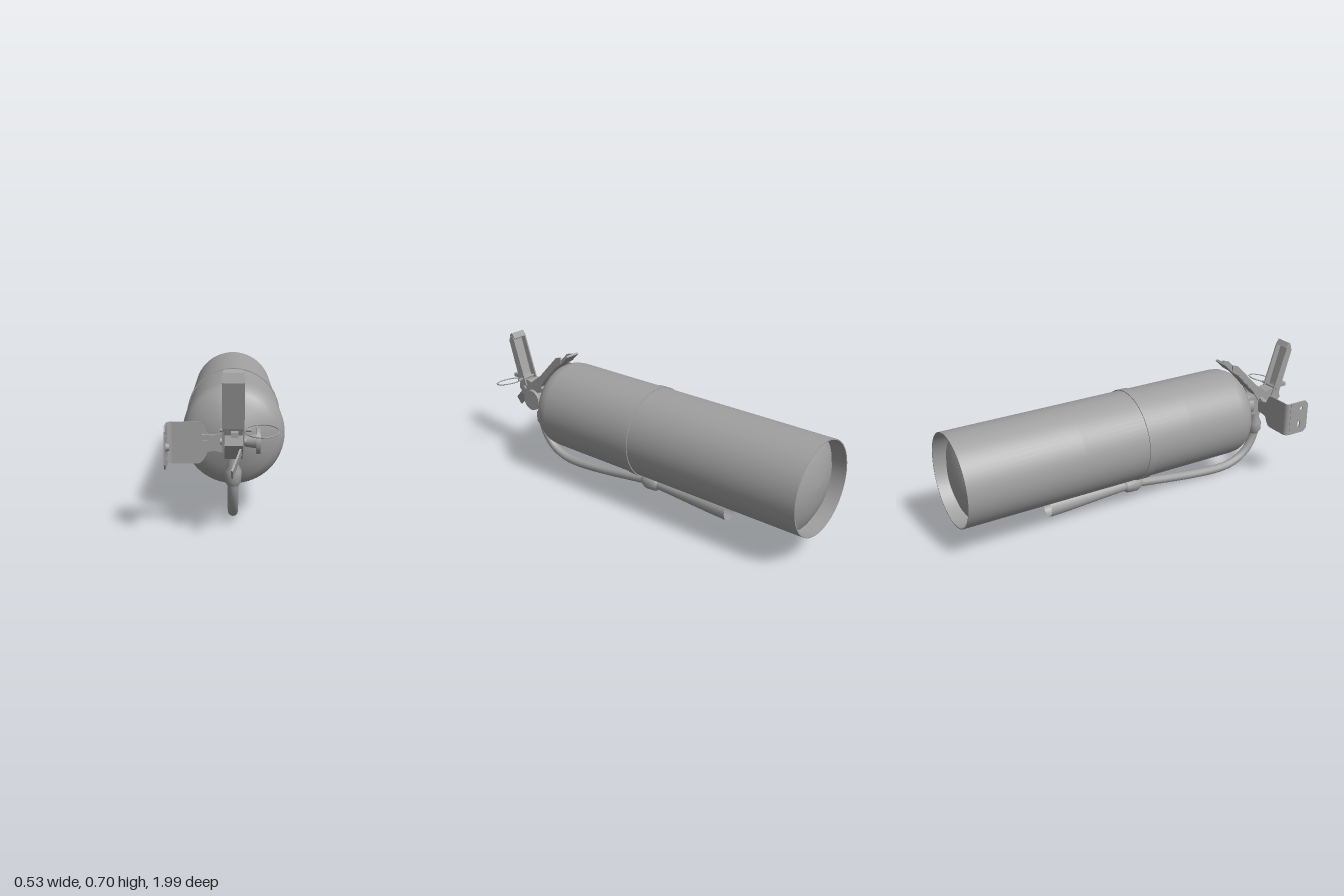
import * as THREE from 'three';

const CX = 0.027, CY = 0.375; // axis of the cylinder

export function createModel() {
  const model = new THREE.Group();
  model.name = 'fireExtinguisher';
  const grey = new THREE.MeshStandardMaterial({ color: 0xa0a0a0, side: THREE.DoubleSide });
  grey.name = 'grey';

  const add = (name, geometry, x = 0, y = 0, z = 0, parent = model) => {
    const mesh = new THREE.Mesh(geometry, grey);
    mesh.name = name;
    mesh.position.set(x, y, z);
    parent.add(mesh);
    return mesh;
  };
  // Surface of revolution about the z axis, from [radius, z] pairs
  const lathe = (name, pts, x, y, sides = 64) =>
    add(name, new THREE.LatheGeometry(pts.map(p => new THREE.Vector2(...p)), sides).rotateX(Math.PI / 2), x, y, 0);
  // Cylinder lying along x
  const rodX = (name, r0, r1, x0, x1, y, z, sides = 16, parent = model) =>
    add(name, new THREE.CylinderGeometry(r0, r1, x1 - x0, sides).rotateZ(Math.PI / 2), (x0 + x1) / 2, y, z, parent);
  // Plate with a [z, y] outline, spanning x0..x1
  const sidePlate = (name, outline, x0, x1, parent = model, holes = []) => {
    const shape = new THREE.Shape(outline.map(p => new THREE.Vector2(...p)));
    shape.holes.push(...holes);
    const g = new THREE.ExtrudeGeometry(shape, { depth: x1 - x0, bevelEnabled: false });
    return add(name, g.rotateY(-Math.PI / 2), x1, 0, 0, parent);
  };

  // Tank: wall and shoulder, skirt inside, domed base
  lathe('tank', [[0.232, -1], [0.232, -0.4], [0.232, 0.2], [0.232, 0.52], [0.228, 0.555], [0.215, 0.584],
    [0.19, 0.606], [0.145, 0.627], [0.09, 0.645], [0.05, 0.656]], CX, CY);
  lathe('skirtInside', [[0.227, -0.925], [0.227, -1]], CX, CY);
  lathe('skirtRim', [[0.227, -1], [0.232, -1]], CX, CY);
  lathe('baseDome', [[0, -0.985], [0.06, -0.981], [0.12, -0.969], [0.18, -0.949], [0.227, -0.922]], CX, CY);

  // Strap around the tank, drawn down to the nozzle clip
  const loop = (r, Path) => {
    const p = new Path();
    p.absarc(0, 0, r, -Math.PI / 2 + 0.37, Math.PI * 1.5 - 0.37, false);
    p.lineTo(-0.025, -r - 0.013);
    p.lineTo(0.025, -r - 0.013);
    p.closePath();
    return p;
  };
  const strap = loop(0.237, THREE.Shape);
  strap.holes.push(loop(0.2325, THREE.Path));
  add('strap', new THREE.ExtrudeGeometry(strap, { depth: 0.045, bevelEnabled: false, curveSegments: 48 }), CX, CY, -0.053);
  add('clipBlock', new THREE.BoxGeometry(0.05, 0.03, 0.05), CX, 0.12, -0.03);
  lathe('clipCollar', [[0.026, -0.075], [0.04, -0.06], [0.043, 0], [0.025, 0.035]], CX, 0.085, 12);

  // Nozzle horn, open at the back
  lathe('nozzle', [[0.049, -0.512], [0.045, -0.4], [0.034, -0.2], [0.027, -0.06]], CX, 0.085, 16);
  lathe('nozzleInside', [[0.024, -0.07], [0.031, -0.2], [0.042, -0.4], [0.046, -0.512]].slice(), CX, 0.085, 16);

  // Hose
  const path = new THREE.CatmullRomCurve3([[0.3, 0.78], [0.2, 0.782], [0.13, 0.755], [0.07, 0.70], [0.035, 0.62],
    [0.026, 0.53], [0.037, 0.36], [0.065, 0.14], [0.08, 0.03], [0.085, -0.04]]
    .map(([y, z]) => new THREE.Vector3(CX - 0.003, y, z)));
  add('hose', new THREE.TubeGeometry(path, 60, 0.023, 12));
  add('hoseFitting', new THREE.LatheGeometry([[0.02, -0.05], [0.036, -0.025], [0.038, 0.02], [0.024, 0.05], [0.028, 0.1]]
    .map(p => new THREE.Vector2(...p)), 10), CX - 0.003, 0.235, 0.78);

  // Valve
  const valve = new THREE.Group();
  valve.name = 'valve';
  model.add(valve);
  const neck = new THREE.CylinderGeometry(0.052, 0.057, 0.1, 20).rotateX(Math.PI / 2);
  add('neck', neck, CX, CY, 0.685, valve);
  sidePlate('valveBody', [[0.70, 0.335], [0.74, 0.32], [0.84, 0.32], [0.89, 0.36], [0.92, 0.39], [0.91, 0.43],
    [0.85, 0.45], [0.78, 0.43], [0.70, 0.42]], -0.012, 0.064, valve);
  rodX('leverPivot', 0.014, 0.014, -0.03, 0.08, 0.40, 0.87, 10, valve);
  rodX('gaugeStem', 0.022, 0.032, 0.06, 0.125, CY + 0.003, 0.745, 10, valve);
  rodX('gauge', 0.057, 0.057, 0.123, 0.141, CY + 0.003, 0.745, 20, valve);

  // Channel-shaped levers: two cheeks and a web
  const lever = (name, cheek, web) => {
    const g = new THREE.Group();
    g.name = name;
    model.add(g);
    sidePlate('cheekLeft', cheek, 0.063, 0.071, g);
    sidePlate('cheekRight', cheek, -0.021, -0.013, g);
    sidePlate('web', web, -0.017, 0.067, g);
  };
  lever('squeezeLever',
    [[0.835, 0.36], [0.89, 0.36], [0.915, 0.46], [0.972, 0.655], [0.965, 0.685], [0.94, 0.68], [0.87, 0.46]],
    [[0.89, 0.40], [0.918, 0.46], [0.976, 0.655], [0.966, 0.695], [0.952, 0.703], [0.933, 0.675],
      [0.942, 0.67], [0.956, 0.685], [0.964, 0.655], [0.906, 0.46], [0.878, 0.40]]);
  lever('carryHandle',
    [[0.80, 0.35], [0.86, 0.37], [0.86, 0.41], [0.735, 0.505], [0.61, 0.635], [0.575, 0.645], [0.575, 0.61],
      [0.615, 0.585], [0.715, 0.475]],
    [[0.80, 0.385], [0.715, 0.472], [0.612, 0.582], [0.57, 0.61], [0.525, 0.655], [0.533, 0.663],
      [0.577, 0.62], [0.62, 0.59], [0.723, 0.48], [0.81, 0.395]]);

  // Safety pin, its pull ring and the hanging seal
  rodX('safetyPin', 0.007, 0.007, -0.03, 0.1, 0.45, 0.885, 8);
  const ring = add('pullRing', new THREE.TorusGeometry(0.071, 0.003, 6, 40).rotateX(Math.PI / 2), 0.143, 0.45, 0.91);
  ring.rotation.x = 0.22;
  const seal = add('sealTag', new THREE.BoxGeometry(0.008, 0.05, 0.14), 0.04, 0.325, 0.925);
  seal.rotation.set(0.7, -0.3, 0);
  add('pinEnd', new THREE.BoxGeometry(0.03, 0.02, 0.05), 0.03, 0.445, 0.955);

  // Wall bracket: rounded plate, bend and drilled flange
  const bracket = new THREE.Group();
  bracket.name = 'wallBracket';
  model.add(bracket);
  const y0 = 0.285, y1 = 0.465;
  const plate = new THREE.Shape();
  plate.moveTo(-0.235, y0);
  plate.lineTo(-0.125, y0);
  plate.quadraticCurveTo(-0.105, y0, -0.085, 0.335);
  plate.lineTo(-0.02, 0.345);
  plate.lineTo(-0.02, 0.405);
  plate.lineTo(-0.085, 0.415);
  plate.quadraticCurveTo(-0.105, y1, -0.125, y1);
  plate.lineTo(-0.235, y1);
  add('bracketPlate', new THREE.ExtrudeGeometry(plate, { depth: 0.006, bevelEnabled: false }), 0, 0, 0.763, bracket);
  add('bracketBend', new THREE.CylinderGeometry(0.025, 0.025, y1 - y0, 8, 1, true, Math.PI, Math.PI / 2),
    -0.235, CY, 0.788, bracket);
  const hole = (z, y, w, h) => {
    const p = new THREE.Path();
    p.absellipse(z, y, w, h, 0, Math.PI * 2, true);
    return p;
  };
  sidePlate('bracketFlange', [[0.788, y0], [0.885, y0], [0.905, y0 + 0.02], [0.905, y1 - 0.02], [0.885, y1], [0.788, y1]],
    -0.262, -0.255, bracket, [hole(0.86, 0.425, 0.01, 0.01), hole(0.85, 0.335, 0.008, 0.022)]);
  rodX('flangeBolt', 0.02, 0.012, -0.258, -0.24, CY, 0.875, 8, bracket);

  // Arm joining the bracket to the valve
  const arm = new THREE.Shape([[-0.02, 0.335], [-0.06, 0.345], [-0.115, 0.342], [-0.125, 0.36], [-0.122, 0.4],
    [-0.11, 0.412], [-0.06, 0.41], [-0.02, 0.42]].map(p => new THREE.Vector2(...p)));
  add('bracketArm', new THREE.ExtrudeGeometry(arm, { depth: 0.02, bevelEnabled: false }), 0, 0, 0.768, bracket);
  add('armBolt', new THREE.BoxGeometry(0.028, 0.028, 0.012), -0.094, CY, 0.793, bracket);

  return model;
}
